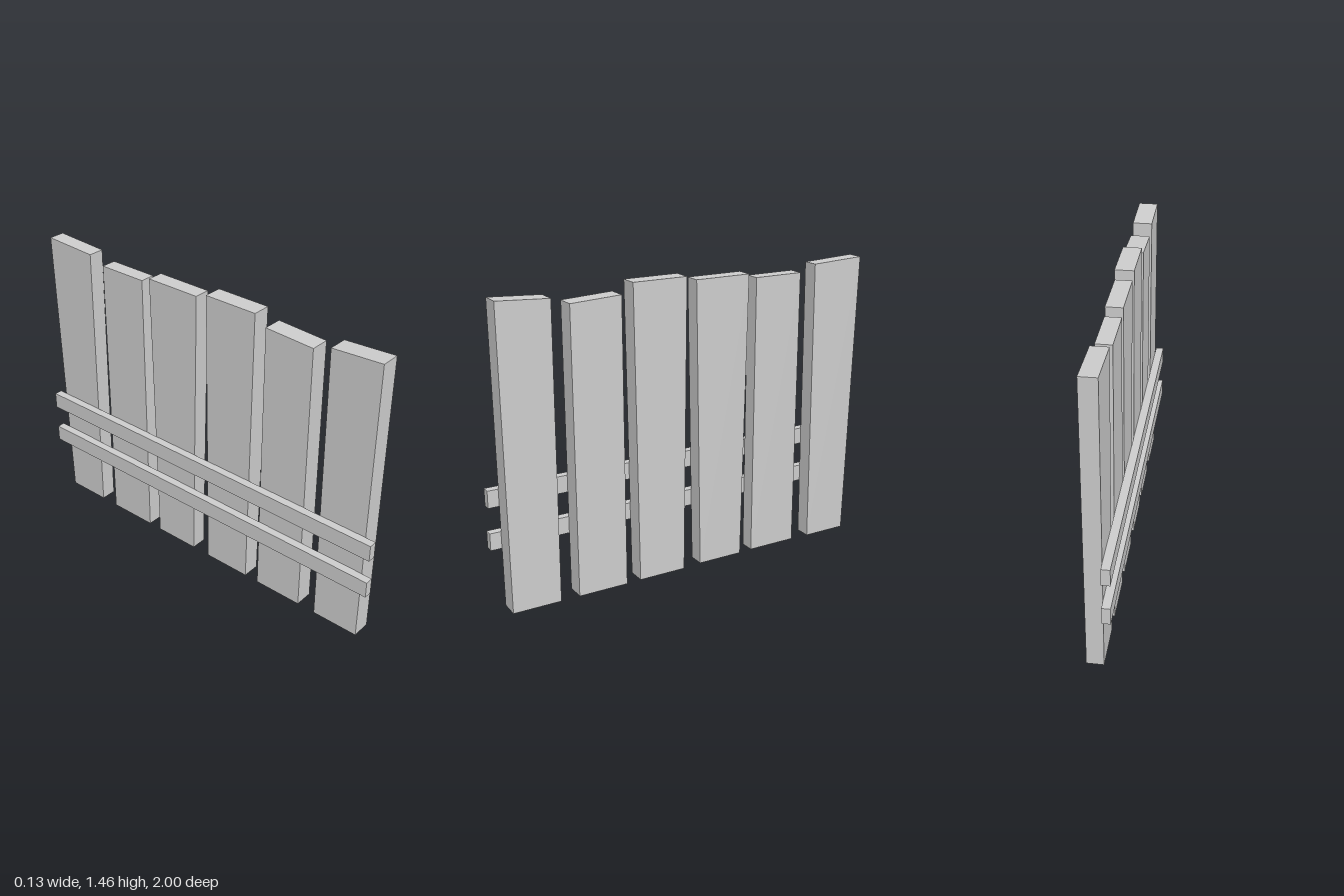
import * as THREE from 'three';

const BACK = -0.03; // shared plane where planks meet the rails

// Plank: a box with tapered sides, a slanted top and an open underside
function plankGeometry({ top, bottom, heights, front }) {
  const geo = new THREE.BoxGeometry(1, 1, 1);
  const pos = geo.attributes.position;
  for (let i = 0; i < pos.count; i++) {
    const side = pos.getZ(i) > 0 ? 0 : 1;
    const isTop = pos.getY(i) > 0;
    pos.setXYZ(
      i,
      pos.getX(i) > 0 ? front : BACK,
      isTop ? heights[side] : 0,
      (isTop ? top : bottom)[side]
    );
  }
  // drop the bottom face (fourth of the six box faces)
  const index = Array.from(geo.index.array);
  index.splice(18, 6);
  geo.setIndex(index);
  geo.clearGroups();
  geo.computeVertexNormals();
  return geo;
}

export function createModel() {
  const model = new THREE.Group();
  model.name = 'fence';
  const wood = new THREE.MeshStandardMaterial({
    color: 0xcccccc, flatShading: true, side: THREE.DoubleSide,
  });

  // Upright planks; pairs run from the +z edge to the -z edge
  const planks = [
    { top: [0.953, 0.699], bottom: [0.945, 0.707], heights: [1.443, 1.428], front: 0.065 },
    { top: [0.613, 0.362], bottom: [0.613, 0.362], heights: [1.395, 1.408], front: 0.064 },
    { top: [0.303, 0.027], bottom: [0.287, 0.043], heights: [1.456, 1.456], front: 0.06 },
    { top: [-0.03, -0.318], bottom: [-0.056, -0.292], heights: [1.433, 1.433], front: 0.05 },
    { top: [-0.364, -0.62], bottom: [-0.364, -0.62], heights: [1.41, 1.41], front: 0.045 },
    { top: [-0.704, -0.982], bottom: [-0.717, -0.943], heights: [1.444, 1.457], front: 0.05 },
  ];
  planks.forEach((p, i) => {
    const plank = new THREE.Mesh(plankGeometry(p), wood);
    plank.name = `plank${i + 1}`;
    model.add(plank);
  });

  // Two long rails behind the planks
  [['lowerRail', 0.33], ['upperRail', 0.536]].forEach(([name, y]) => {
    const rail = new THREE.Mesh(new THREE.BoxGeometry(0.04, 0.083, 2), wood);
    rail.name = name;
    rail.position.set(BACK - 0.02, y, 0);
    model.add(rail);
  });

  return model;
}
